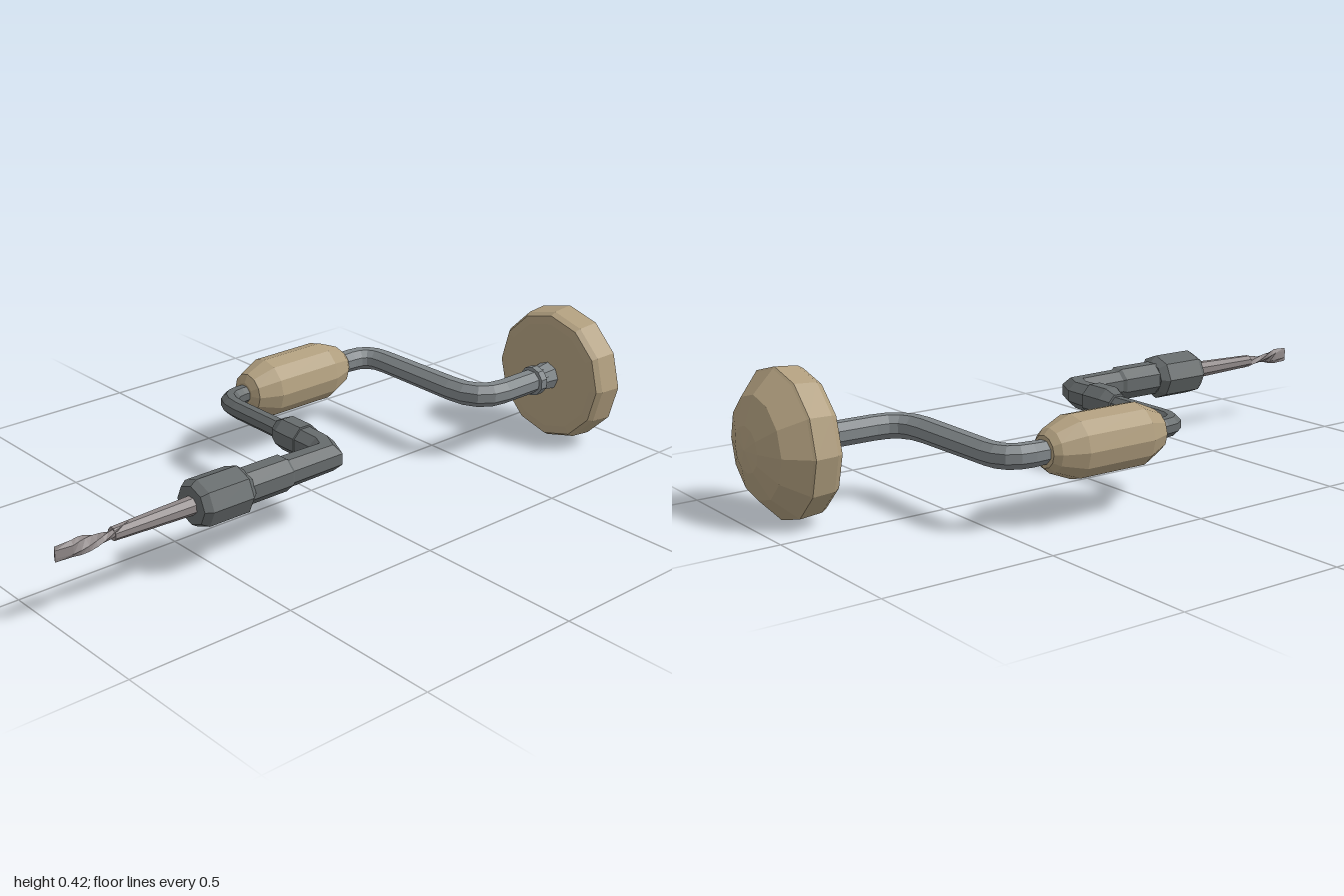
import * as THREE from 'three';

const mat = (color) => new THREE.MeshStandardMaterial({ color, flatShading: true, roughness: 0.8 });
const wood = mat(0xb09e7e);
const steel = mat(0x808689);
const darkSteel = mat(0x666b6c);
const bitSteel = mat(0x918a8a);

// Turned part around the z axis; profile is [radius, z] with z increasing
function turned(name, profile, sides, x, material) {
  const geo = new THREE.LatheGeometry(profile.map(([r, z]) => new THREE.Vector2(r, z)), sides);
  geo.rotateX(Math.PI / 2);
  const mesh = new THREE.Mesh(geo, material);
  mesh.name = name;
  mesh.position.x = x;
  return mesh;
}

// Mitred sweep along a path in the xz plane; ring = [x, z, width radius, height radius, twist]
function sweep(name, rings, sides, phase, material) {
  const pos = [], idx = [], n = rings.length;
  const dir = (a, b) => new THREE.Vector2(b[0] - a[0], b[1] - a[1]).normalize();
  rings.forEach((ring, i) => {
    const [x, z, rw, rh = rw, twist = 0] = ring;
    const dIn = i > 0 ? dir(rings[i - 1], ring) : dir(ring, rings[1]);
    const dOut = i < n - 1 ? dir(ring, rings[i + 1]) : dIn;
    const t = dIn.clone().add(dOut).normalize();
    const mitre = 1 / t.dot(dIn);
    for (let j = 0; j < sides; j++) {
      const a = phase + (j / sides) * Math.PI * 2;
      const u = Math.cos(a) * rw, v = Math.sin(a) * rh;
      const w = (u * Math.cos(twist) - v * Math.sin(twist)) * mitre;
      pos.push(x + t.y * w, u * Math.sin(twist) + v * Math.cos(twist), z - t.x * w);
    }
  });
  for (let i = 0; i < n - 1; i++) {
    for (let j = 0; j < sides; j++) {
      const k = (j + 1) % sides, a = i * sides, b = a + sides;
      idx.push(a + j, a + k, b + j, a + k, b + k, b + j);
    }
  }
  // End caps
  const last = (n - 1) * sides;
  for (let j = 1; j < sides - 1; j++) {
    idx.push(0, j + 1, j, last, last + j, last + j + 1);
  }
  const geo = new THREE.BufferGeometry();
  geo.setAttribute('position', new THREE.Float32BufferAttribute(pos, 3));
  geo.setIndex(idx);
  geo.computeVertexNormals();
  const mesh = new THREE.Mesh(geo, material);
  mesh.name = name;
  return mesh;
}

// Rounded corner from a to b, pulled toward corner c, as rings of radius r
function bend(a, c, b, r, steps = 4) {
  const curve = new THREE.QuadraticBezierCurve(
    new THREE.Vector2(...a), new THREE.Vector2(...c), new THREE.Vector2(...b));
  return curve.getPoints(steps).map((p) => [p.x, p.y, r]);
}

export function createModel() {
  const model = new THREE.Group();
  model.name = 'handBrace';
  const body = new THREE.Group();
  body.name = 'brace';
  body.position.y = 0.212;
  model.add(body);
  const flat = Math.PI / 8;

  // Wooden head knob and crank handle
  body.add(turned('headKnob', [
    [0, -1], [0.065, -0.993], [0.145, -0.965], [0.206, -0.905], [0.212, -0.9],
    [0.206, -0.832], [0.196, -0.815], [0.17, -0.812], [0, -0.812],
  ], 12, 0.187, wood));
  body.add(turned('crankHandle', [
    [0, -0.388], [0.045, -0.388], [0.062, -0.37], [0.09, -0.3],
    [0.09, -0.08], [0.06, -0.012], [0.035, 0], [0, 0],
  ], 12, -0.312, wood));

  // Neck flare and collar below the knob
  body.add(turned('neckFlare', [[0.045, -0.815], [0.036, -0.755]], 8, 0.187, steel));
  body.add(turned('neckCollar', [
    [0.03, -0.765], [0.046, -0.762], [0.046, -0.738], [0.03, -0.735],
  ], 10, 0.187, steel));

  // Rear crank arm from knob to handle
  body.add(sweep('rearArm', [
    [0.187, -0.81, 0.037],
    ...bend([0.187, -0.61], [0.187, -0.508], [0.07, -0.508], 0.037),
    ...bend([-0.23, -0.508], [-0.312, -0.508], [-0.312, -0.43], 0.035),
    [-0.312, -0.37, 0.033],
  ], 8, flat, steel));

  // Front crank arm from handle to sleeve
  body.add(sweep('frontArm', [
    [-0.312, -0.02, 0.027],
    ...bend([-0.312, 0.02], [-0.312, 0.09], [-0.225, 0.09], 0.029),
    [0, 0.09, 0.029],
  ], 8, flat, darkSteel));

  // Ratchet sleeve
  body.add(sweep('ratchetSleeve', [
    [-0.031, 0.09, 0.036], [0, 0.09, 0.051], [0.079, 0.09, 0.051],
  ], 8, flat, darkSteel));

  // Mitred elbow and spindle
  body.add(sweep('elbowSpindle', [
    [0.07, 0.091, 0.045], [0.15, 0.092, 0.043], [0.198, 0.115, 0.043],
    [0.198, 0.265, 0.045], [0.198, 0.275, 0.052], [0.198, 0.42, 0.052],
  ], 8, flat, darkSteel));

  // Chuck
  const chuck = turned('chuck', [
    [0, 0.408], [0.054, 0.408], [0.074, 0.43], [0.074, 0.562], [0.06, 0.583], [0, 0.583],
  ], 8, 0.197, darkSteel);
  chuck.scale.y = 0.93;
  body.add(chuck);

  // Drill bit: tapered shank, then a twisted blade ending in a chisel edge
  const x = 0.197;
  body.add(sweep('bitShank', [
    [x, 0.57, 0.027], [x, 0.7, 0.023], [x, 0.83, 0.019],
  ], 8, flat, bitSteel));
  const blade = [];
  for (let i = 0; i <= 8; i++) {
    const f = i / 8;
    blade.push([x, 0.78 + f * 0.17, 0.012 - f * 0.002, 0.02 + f * 0.004, (1 - f) * Math.PI]);
  }
  blade.push([x, 1, 0.002, 0.022, 0]);
  body.add(sweep('bitBlade', blade, 6, Math.PI / 6, bitSteel));

  return model;
}
